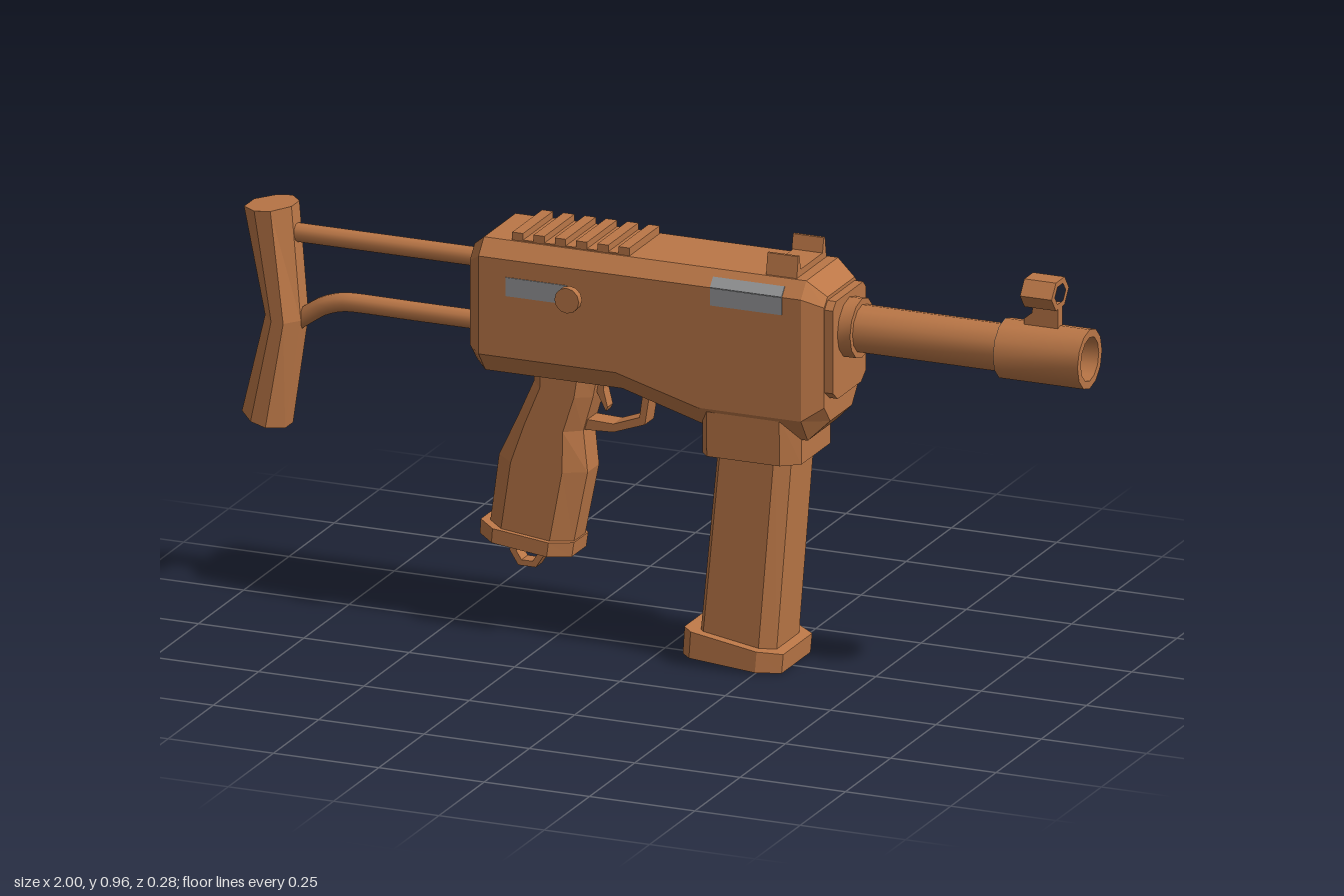
import * as THREE from 'three';
import { toCreasedNormals } from 'three/addons/utils/BufferGeometryUtils.js';

const copper = new THREE.MeshStandardMaterial({ color: 0xbb7747 });
copper.name = 'copper';
const steel = new THREE.MeshStandardMaterial({ color: 0x959698 });
steel.name = 'steel';

// Flat-shaded skin over convex rings of equal length, with both ends capped
function loft(rings) {
  const tris = [], n = rings[0].length;
  for (let r = 0; r + 1 < rings.length; r++) {
    for (let i = 0; i < n; i++) {
      const j = (i + 1) % n, a = rings[r], b = rings[r + 1];
      tris.push([a[i], a[j], b[j]], [a[i], b[j], b[i]]);
    }
  }
  const first = rings[0], last = rings[rings.length - 1];
  for (let i = 1; i + 1 < n; i++) {
    tris.push([first[0], first[i + 1], first[i]], [last[0], last[i], last[i + 1]]);
  }
  // Signed volume tells whether the winding faces outward
  const o = new THREE.Vector3(...first[0]);
  let volume = 0;
  for (const t of tris) {
    const [a, b, c] = t.map((p) => new THREE.Vector3(...p).sub(o));
    volume += a.dot(b.cross(c));
  }
  if (volume < 0) tris.forEach((t) => t.reverse());
  const g = new THREE.BufferGeometry();
  g.setAttribute('position', new THREE.Float32BufferAttribute(tris.flat(2), 3));
  g.computeVertexNormals();
  return g;
}

// Chamfered cross-section running from rear (x0,y0) to front (x1,y1)
function section(x0, y0, x1, y1, hz, rear, front, zRear, zFront) {
  const at = (t, z) => [x0 + (x1 - x0) * t, y0 + (y1 - y0) * t, z];
  const half = [[0, zRear], [rear, hz], [1 - front, hz], [1, zFront]];
  return [...half.map(([t, z]) => at(t, z)), ...half.reverse().map(([t, z]) => at(t, -z))];
}

// Octagonal receiver section at x
function bodySection(x, top, shoulder, waist, bottom, hz, topZ, botZ) {
  const half = [[top, topZ], [shoulder, hz], [waist, hz], [bottom, botZ]];
  return [...half.map(([y, z]) => [x, y, z]), ...half.reverse().map(([y, z]) => [x, y, -z])];
}

// Profile in (z, y) extruded along x between x0 and x1
function extrudeX(points, x0, x1, hole) {
  const shape = new THREE.Shape(points.map(([z, y]) => new THREE.Vector2(-z, y)));
  if (hole) shape.holes.push(new THREE.Path(hole.map(([z, y]) => new THREE.Vector2(-z, y))));
  const g = new THREE.ExtrudeGeometry(shape, { depth: x1 - x0, bevelEnabled: false });
  return g.rotateY(Math.PI / 2).translate(x0, 0, 0);
}

// Profile in (x, y) extruded evenly about z = 0
function extrudeZ(points, width, hole) {
  const shape = new THREE.Shape(points.map((p) => new THREE.Vector2(...p)));
  if (hole) shape.holes.push(new THREE.Path(hole.map((p) => new THREE.Vector2(...p))));
  return new THREE.ExtrudeGeometry(shape, { depth: width, bevelEnabled: false }).translate(0, 0, -width / 2);
}

const hexagon = (cx, cy, rx, ry) => Array.from({ length: 6 }, (_, i) => {
  const a = i * Math.PI / 3;
  return [cx + rx * Math.cos(a), cy + ry * Math.sin(a)];
});

// Turned part along x; profile is [radius, x]
function turned(profile, y) {
  const g = new THREE.LatheGeometry(profile.map((p) => new THREE.Vector2(...p)), 12);
  return toCreasedNormals(g, 0.7).rotateZ(-Math.PI / 2).translate(0, y, 0);
}

export function createModel() {
  const model = new THREE.Group();
  model.position.z = -0.018;
  const add = (name, geometry, material = copper) => {
    const mesh = new THREE.Mesh(geometry, material);
    mesh.name = name;
    model.add(mesh);
    return mesh;
  };
  const box = (name, x0, x1, y0, y1, z0, z1, material) => add(name,
    new THREE.BoxGeometry(x1 - x0, y1 - y0, z1 - z0)
      .translate((x0 + x1) / 2, (y0 + y1) / 2, (z0 + z1) / 2), material);

  // Receiver
  add('receiver', loft([
    bodySection(-0.43, 0.89, 0.86, 0.665, 0.625, 0.095, 0.07, 0.06),
    bodySection(-0.4, 0.915, 0.88, 0.655, 0.607, 0.118, 0.0875, 0.08),
    bodySection(-0.075, 0.915, 0.88, 0.655, 0.607, 0.118, 0.0875, 0.08),
    bodySection(0.12, 0.915, 0.88, 0.6, 0.55, 0.118, 0.0875, 0.08),
    bodySection(0.365, 0.915, 0.88, 0.6, 0.545, 0.118, 0.0875, 0.08),
    bodySection(0.41, 0.88, 0.86, 0.63, 0.59, 0.094, 0.075, 0.06),
  ]));
  add('frontPlate', extrudeX([[-0.065, 0.645], [0.065, 0.645], [0.092, 0.665], [0.092, 0.855],
    [0.075, 0.872], [-0.075, 0.872], [-0.092, 0.855], [-0.092, 0.665]].reverse(), 0.4, 0.43));

  // Barrel and hollow muzzle
  const axisY = 0.792;
  add('barrelCollar', turned([[0, 0.42], [0.068, 0.42], [0.068, 0.46], [0, 0.46]], axisY));
  add('barrel', turned([[0.054, 0.44], [0.054, 0.82]], axisY));
  add('muzzle', turned([[0.068, 0.8], [0.068, 1], [0.05, 1], [0.05, 0.83], [0, 0.83]], axisY));
  add('muzzleRearRing', turned([[0.053, 0.799], [0.068, 0.799], [0.068, 0.801]], axisY), steel);

  // Front sight
  add('frontSightPost', extrudeZ([[0.85, 0.85], [0.93, 0.85], [0.93, 0.91], [0.872, 0.91], [0.868, 0.885], [0.85, 0.87]], 0.026));
  add('frontSightHood', extrudeX(hexagon(0, 0.933, 0.048, 0.037), 0.855, 0.93, hexagon(0, 0.933, 0.03, 0.023)));

  // Rear sight
  box('rearSightBase', 0.27, 0.34, 0.91, 0.93, -0.075, 0.075);
  for (const s of [-1, 1]) {
    add('rearSightEar', loft([0.267, 0.34].map((x) => [
      [x, 0.91, s * 0.083], [x, 0.963, s * 0.074], [x, 0.963, s * 0.067], [x, 0.93, s * 0.06], [x, 0.91, s * 0.06]])));
  }

  // Top rail
  box('railBase', -0.335, -0.057, 0.91, 0.918, -0.083, 0.083);
  for (let i = 0; i < 6; i++) {
    const x = -0.322 + i * 0.0505;
    box('railRib', x - 0.013, x + 0.013, 0.912, 0.933, -0.083, 0.083);
  }

  // Ports wrapping over the shoulder on both sides
  for (const s of [-1, 1]) {
    box('portSide', 0.15, 0.32, 0.84, 0.88, s * 0.1185 - 0.002, s * 0.1185 + 0.002, steel);
    const slope = add('portShoulder', new THREE.BoxGeometry(0.17, 0.026, 0.004), steel);
    slope.position.set(0.235, 0.89, s * 0.11);
    slope.rotation.x = -s * 0.717;
  }

  // Charging slot and handle
  box('handleSlot', -0.335, -0.19, 0.797, 0.84, 0.116, 0.12, steel);
  const knob = (name, r, z0, z1) => add(name, new THREE.CylinderGeometry(r, r, z1 - z0, 12)
    .rotateX(Math.PI / 2).translate(-0.175, 0.818, (z0 + z1) / 2));
  knob('handleStem', 0.016, 0.11, 0.14);
  knob('handleKnob', 0.029, 0.137, 0.155);

  // Magazine well, magazine and floor plate
  add('magazineWell', loft([
    section(0.12, 0.6, 0.35, 0.6, 0.112, 0.08, 0.17, 0.09, 0.08),
    section(0.12, 0.488, 0.35, 0.488, 0.11, 0.08, 0.17, 0.09, 0.08),
  ]));
  add('magazine', loft([
    section(0.155, 0.53, 0.322, 0.53, 0.087, 0.05, 0.19, 0.08, 0.062),
    section(0.11, 0.06, 0.283, 0.04, 0.087, 0.05, 0.19, 0.08, 0.062),
  ]));
  add('magazineFloor', loft([
    section(0.077, 0.083, 0.307, 0.045, 0.11, 0.1, 0.22, 0.09, 0.08),
    section(0.073, 0.02, 0.303, 0.001, 0.11, 0.1, 0.22, 0.09, 0.08),
  ]));

  // Grip with base plate and lanyard ring
  const gripCut = [0.2, 0.22, 0.032, 0.032];
  add('grip', loft([
    section(-0.305, 0.64, -0.15, 0.64, 0.066, ...gripCut),
    section(-0.305, 0.58, -0.165, 0.56, 0.066, ...gripCut),
    section(-0.345, 0.49, -0.188, 0.48, 0.066, ...gripCut),
    section(-0.388, 0.4, -0.178, 0.385, 0.066, ...gripCut),
    section(-0.41, 0.235, -0.212, 0.215, 0.066, ...gripCut),
  ]));
  add('gripBase', loft([
    section(-0.428, 0.248, -0.207, 0.222, 0.078, 0.2, 0.2, 0.04, 0.04),
    section(-0.43, 0.215, -0.212, 0.189, 0.078, 0.2, 0.2, 0.04, 0.04),
  ]));
  add('lanyardRing', extrudeZ(hexagon(-0.328, 0.178, 0.042, 0.038), 0.035, hexagon(-0.328, 0.178, 0.026, 0.023)));

  // Trigger and guard
  add('triggerGuard', extrudeZ([[-0.2, 0.505], [-0.19, 0.48], [-0.12, 0.483], [-0.045, 0.51], [-0.028, 0.62],
    [-0.045, 0.62], [-0.058, 0.525], [-0.12, 0.502]], 0.05));
  add('trigger', extrudeZ([[-0.17, 0.62], [-0.165, 0.57], [-0.142, 0.525], [-0.138, 0.535], [-0.148, 0.575], [-0.145, 0.62]], 0.03));

  // Skeleton stock: two rods and a butt pad
  const rod = (name, points) => add(name, new THREE.TubeGeometry(
    new THREE.CatmullRomCurve3(points.map(([x, y]) => new THREE.Vector3(x, y, 0)), false, 'catmullrom', 0.3), 24, 0.021, 10));
  rod('upperStockRod', [[-0.42, 0.835], [-0.9, 0.835]]);
  rod('lowerStockRod', [[-0.42, 0.69], [-0.6, 0.69], [-0.76, 0.69], [-0.82, 0.673], [-0.89, 0.625]]);
  const padCut = [0.35, 0.3, 0.028, 0.022];
  add('buttPad', loft([
    section(-0.995, 0.888, -0.885, 0.9, 0.062, ...padCut),
    section(-0.945, 0.645, -0.863, 0.64, 0.062, ...padCut),
    section(-1, 0.417, -0.9, 0.388, 0.062, ...padCut),
  ]));
  return model;
}
